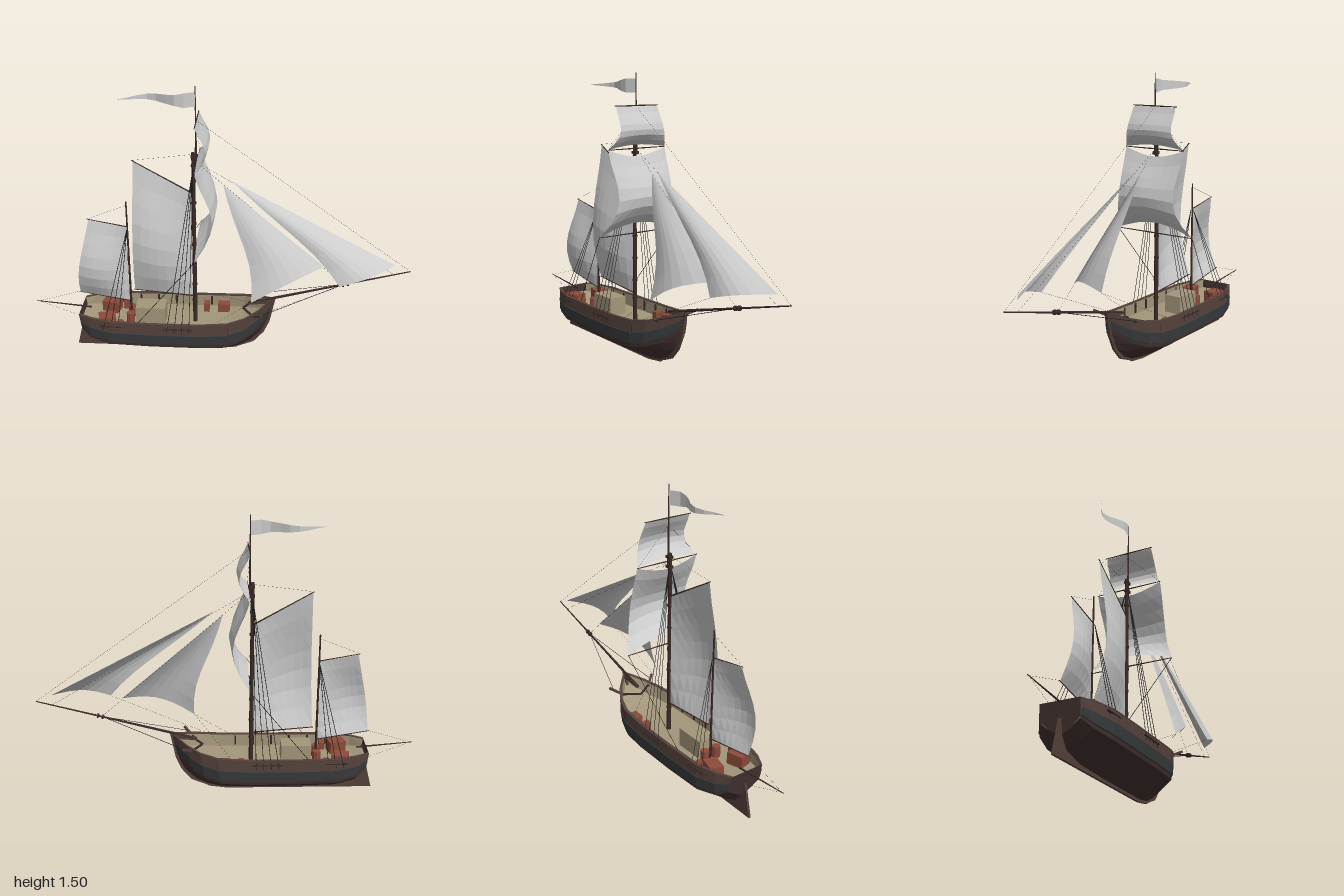
import * as THREE from 'three';

const V = (x, y, z = 0) => new THREE.Vector3(x, y, z);
const mat = (color) => new THREE.MeshStandardMaterial({ color, flatShading: true, side: THREE.DoubleSide });
const M = {
  hull: mat(0x423230), upper: mat(0x54413b), belt: mat(0x383a3b), deck: mat(0xa3967a),
  spar: mat(0x3a2926), crate: mat(0x8c4a3a), rope: mat(0x1c1c1c), sail: mat(0xcccccc),
};

// Hull stations: sheer x, sheer y, half beam, keel x, keel y
const stations = [
  [-0.75, 0.245, 0.10, -0.73, 0.10], [-0.68, 0.245, 0.138, -0.69, 0.045],
  [-0.57, 0.243, 0.168, -0.58, 0.018], [-0.35, 0.242, 0.174, -0.35, 0.012],
  [-0.1, 0.243, 0.174, -0.1, 0.012], [0.05, 0.25, 0.164, 0.02, 0.012],
  [0.14, 0.268, 0.135, 0.1, 0.025], [0.21, 0.292, 0.088, 0.17, 0.06],
  [0.265, 0.316, 0.035, 0.23, 0.12], [0.295, 0.33, 0.003, 0.265, 0.19],
];
const hullPoint = ([xs, ys, w, xk, yk], h, f, side, inset = 0) =>
  V(xk + (xs - xk) * h, yk + (ys - yk) * h, side * Math.max(0, w * f - inset));

export function createModel() {
  const model = new THREE.Group();
  const add = (name, geo, material, parent = model) => {
    const m = new THREE.Mesh(geo, material);
    m.name = name;
    parent.add(m);
    return m;
  };
  const group = (name) => {
    const g = new THREE.Group();
    g.name = name;
    model.add(g);
    return g;
  };
  // Surface through equally long rows of points
  const loft = (name, rows, material, parent) => {
    const n = rows[0].length, idx = [];
    for (let i = 0; i < rows.length - 1; i++)
      for (let j = 0; j < n - 1; j++) {
        const a = i * n + j, b = a + n;
        idx.push(a, b, a + 1, b, b + 1, a + 1);
      }
    const geo = new THREE.BufferGeometry().setFromPoints(rows.flat());
    geo.setIndex(idx);
    geo.computeVertexNormals();
    add(name, geo, material, parent);
  };
  const spar = (name, a, b, r1, r2 = r1, material = M.spar, parent = model, sides = 8) => {
    const m = add(name, new THREE.CylinderGeometry(r2, r1, a.distanceTo(b), sides), material, parent);
    m.position.copy(a).add(b).multiplyScalar(0.5);
    m.quaternion.setFromUnitVectors(V(0, 1, 0), b.clone().sub(a).normalize());
  };
  const box = (name, size, pos, material, turn = 0, parent = model) => {
    const m = add(name, new THREE.BoxGeometry(...size), material, parent);
    m.position.set(...pos);
    m.rotation.y = turn;
  };

  // Hull planking, belt, bulwarks and rail on both sides
  const hull = group('hull');
  const line = (h, f, s, inset) => stations.map((st) => hullPoint(st, h, f, s, inset));
  for (const s of [1, -1]) {
    loft('bottomPlanking', [line(0, 0, s), line(0.18, 0.5, s), line(0.4, 0.94, s), line(0.48, 0.96, s)], M.hull, hull);
    loft('sideBelt', [line(0.48, 0.96, s), line(0.49, 0.99, s), line(0.74, 1.01, s), line(0.75, 0.99, s)], M.belt, hull);
    loft('topsides', [line(0.75, 0.99, s), line(1, 0.97, s)], M.upper, hull);
    loft('rail', [line(1, 0.98, s), line(1.02, 0.98, s), line(1.02, 0.97, s, 0.016), line(1, 0.97, s, 0.016)], M.upper, hull);
    loft('innerBulwark', [line(1, 0.97, s, 0.012), line(0.7, 0.97, s, 0.012)], M.deck, hull);
    // Frames along the inside of the bulwark
    for (let x = -0.55; x < 0.05; x += 0.1)
      box('bulwarkFrame', [0.01, 0.055, 0.008], [x, 0.21, s * 0.155], M.spar, 0, hull);
  }
  loft('deck', [line(0.7, 0.97, 1, 0.01), line(0.7, 0.97, -1, 0.01)], M.deck, hull);
  const profile = [[0, 0], [0.18, 0.5], [0.48, 0.96], [0.75, 0.99], [1.02, 0.98]];
  loft('transom', [1, -1].map((s) => profile.map(([h, f]) => hullPoint(stations[0], h, f, s))), M.hull, hull);

  // Keel, rudder and stem as thin plates
  const plate = (name, pts, t) => {
    const geo = new THREE.ExtrudeGeometry(new THREE.Shape(pts.map(([x, y]) => new THREE.Vector2(x, y))),
      { depth: t, bevelEnabled: false });
    geo.translate(0, 0, -t / 2);
    add(name, geo, M.upper, hull);
  };
  plate('keelAndRudder', [[-0.79, 0], [0, 0], [0.1, 0.014], [0.1, 0.03], [-0.55, 0.025], [-0.69, 0.06],
    [-0.735, 0.17], [-0.75, 0.17], [-0.765, 0.10]], 0.012);
  plate('stem', [[0.08, 0.01], [0.19, 0.055], [0.245, 0.12], [0.275, 0.19], [0.303, 0.333], [0.16, 0.305],
    [0.16, 0.29], [0.27, 0.30], [0.235, 0.17], [0.17, 0.075], [0.08, 0.03]], 0.014);

  // Deck fittings
  box('deckHouse', [0.16, 0.1, 0.1], [-0.37, 0.222, 0], M.deck);
  for (const s of [1, -1]) {
    spar('foredeckKnee', V(0.13, 0.265, 0), V(0.19, 0.265, s * 0.09), 0.006, 0.006, M.spar, model, 4);
    box('largeCrate', [0.09, 0.065, 0.07], [-0.6, 0.21, s * 0.08], M.crate, s * 0.25);
    box('smallCrate', [0.03, 0.045, 0.04], [-0.525, 0.2, s * 0.11], M.crate);
    spar('barrel', V(-0.48, 0.17, s * 0.036), V(-0.48, 0.235, s * 0.036), 0.022, 0.022, M.crate);
    spar('cathead', V(0.18, 0.268, s * 0.085), V(0.23, 0.302, s * 0.142), 0.008, 0.008, M.upper, model, 4);
  }
  box('foreCrate', [0.065, 0.05, 0.045], [0.02, 0.2, -0.11], M.crate);
  box('midCrate', [0.03, 0.05, 0.045], [-0.075, 0.2, -0.11], M.crate);

  // Masts and spars
  spar('mainMast', V(-0.13, 0.16), V(-0.13, 1.16), 0.012, 0.009);
  spar('topMast', V(-0.115, 1.08), V(-0.115, 1.5), 0.006, 0.002);
  for (const y of [0.3, 0.4, 0.52, 0.64, 0.76, 0.88, 1.0])
    spar('mastBand', V(-0.13, y), V(-0.13, y + 0.012), 0.0135);
  for (const y of [1.09, 1.14]) box('mastCap', [0.034, 0.014, 0.022], [-0.124, y, 0], M.spar);
  spar('mizzenMast', V(-0.48, 0.16), V(-0.48, 0.88), 0.007, 0.004);
  spar('bowsprit', V(0.16, 0.298), V(1, 0.522), 0.008, 0.003);
  for (const x of [0.65, 0.675])
    spar('bowspritBand', V(x, 0.298 + (x - 0.16) * 0.267), V(x + 0.01, 0.301 + (x - 0.16) * 0.267), 0.013);
  spar('sternBoom', V(-0.7, 0.238), V(-1, 0.266), 0.005, 0.002);
  spar('mainGaff', V(-0.13, 0.935), V(-0.44, 1.11), 0.004, 0.0025);
  spar('mainBoom', V(-0.13, 0.332), V(-0.46, 0.36), 0.004, 0.0025);
  spar('mizzenGaff', V(-0.48, 0.737), V(-0.69, 0.775), 0.003, 0.002);
  spar('mizzenBoom', V(-0.48, 0.287), V(-0.76, 0.335), 0.003, 0.002);
  for (const [y, w] of [[0.667, 0.24], [1.113, 0.182], [1.333, 0.138]])
    for (const s of [1, -1]) spar('yardArm', V(-0.11, y, 0), V(-0.11, y, s * w), 0.0035, 0.002);

  // Sails: four corners, an offset by (u, v), and hollowed edges
  const sail = (name, [tl, tr, br, bl], belly, { left = 0, right = 0, foot = 0, head = 0 } = {}) => {
    const n = 7, rows = [];
    for (let i = 0; i <= n; i++) {
      const v = i / n, sv = Math.sin(Math.PI * Math.pow(v, 1.3)), row = [];
      const a = tl.clone().lerp(bl, v), b = tr.clone().lerp(br, v);
      for (let j = 0; j <= n; j++) {
        const u = j / n, su = Math.sin(Math.PI * u);
        const p = a.clone().lerp(b, u + sv * (left * (1 - u) - right * u));
        p.add(belly(u, sv, su, v));
        p.y += su * (foot * v * v - head * (1 - v) ** 2);
        row.push(p);
      }
      rows.push(row);
    }
    loft(name, rows, M.sail);
  };
  const square = (name, yTop, wTop, yFoot, wFoot, depth, edges) =>
    sail(name, [V(-0.108, yTop, wTop), V(-0.108, yTop, -wTop), V(-0.108, yFoot, -wFoot), V(-0.108, yFoot, wFoot)],
      (u, sv, su) => V(depth * sv * (0.85 + 0.15 * su), 0), edges);
  square('topSail', 1.112, 0.18, 0.668, 0.24, 0.097, { left: 0.1, right: 0.1, foot: 0.055, head: 0.04 });
  square('upperTopSail', 1.33, 0.13, 1.115, 0.18, 0.06, { left: 0.065, right: 0.065, foot: 0.018 });
  // Fore-and-aft sails belly out most near the free edge
  const gaffSail = (name, corners, depth, edges) =>
    sail(name, corners, (u, sv) => V(0, 0, depth * sv * Math.sin(Math.PI * (0.3 + 0.7 * u))), edges);
  gaffSail('mainSail', [V(-0.435, 1.105), V(-0.142, 0.94), V(-0.142, 0.335), V(-0.455, 0.36)], 0.07);
  gaffSail('mizzenSail', [V(-0.683, 0.77), V(-0.487, 0.735), V(-0.487, 0.29), V(-0.755, 0.333)], 0.06, { left: -0.06 });
  const jib = (name, head, tack, clew, edges) => sail(name, [head, head, tack, clew],
    (u, sv, su, v) => V(0, 0, su * (0.015 * sv + 0.045 * v * v)), edges);
  jib('innerJib', V(0.02, 0.99), V(0.55, 0.535), V(0.175, 0.38, 0.132), { left: 0.13, foot: 0.03 });
  jib('outerJib', V(0.065, 1.01), V(0.92, 0.555), V(0.625, 0.495, 0.132), { left: 0.13, foot: 0.012 });

  // Pennant with a square hoist and a waving tail
  const flag = [[], []];
  for (let i = 0; i <= 8; i++) {
    const x = i < 2 ? -0.115 - i * 0.055 : -0.17 - (i - 1) * 0.0457;
    const half = i < 2 ? 0.036 : 0.03 * (1 - (i - 1) / 7) + 0.001;
    const z = 0.03 * Math.sin((-0.115 - x) * 20);
    flag[0].push(V(x, 1.434 + half, z));
    flag[1].push(V(x, 1.434 - half, z));
  }
  loft('pennant', flag, M.sail);

  // Rigging
  const rigging = group('rigging');
  const rope = (name, a, b, r = 0.0004) => spar(name, a, b, r, r, M.rope, rigging, 4);
  const shrouds = (name, feet, z, top) => {
    for (const s of [1, -1])
      for (const x of feet) {
        rope(name, V(x, 0.2, s * z), V(top.x, top.y, s * 0.008), 0.0016);
        box('channel', [0.034, 0.005, 0.012], [x, 0.222, s * (z - 0.003)], M.spar, 0, rigging);
      }
  };
  shrouds('mainShroud', [-0.27, -0.23, -0.19, -0.15], 0.175, V(-0.13, 1.08));
  shrouds('mizzenShroud', [-0.61, -0.57, -0.53], 0.166, V(-0.48, 0.73));
  for (const s of [1, -1]) {
    rope('yardBrace', V(-0.11, 0.667, s * 0.238), V(-0.42, 0.25, s * 0.16), 0.0015);
    rope('upperYardLift', V(-0.11, 1.113, s * 0.18), V(-0.115, 1.3, 0));
    rope('bowspritGuy', V(0.22, 0.29, s * 0.12), V(0.66, 0.432, 0), 0.0015);
    rope('jibSheet', V(0.175, 0.38, 0.132), V(-0.02, 0.25, s * 0.15));
  }
  rope('topStay', V(1, 0.522), V(-0.115, 1.33));
  rope('outerStay', V(0.92, 0.5), V(-0.115, 1.11));
  rope('innerStay', V(0.66, 0.432), V(-0.115, 1.11));
  rope('outerJibSheet', V(0.625, 0.495, 0.132), V(0.1, 0.26, 0.14));
  rope('gaffLift', V(-0.44, 1.11), V(-0.13, 1.15));
  rope('mizzenGaffLift', V(-0.69, 0.775), V(-0.48, 0.86));
  rope('mizzenSheet', V(-0.76, 0.335), V(-0.99, 0.265));
  rope('sternBoomStay', V(-0.99, 0.265), V(-0.745, 0.17));
  return model;
}
